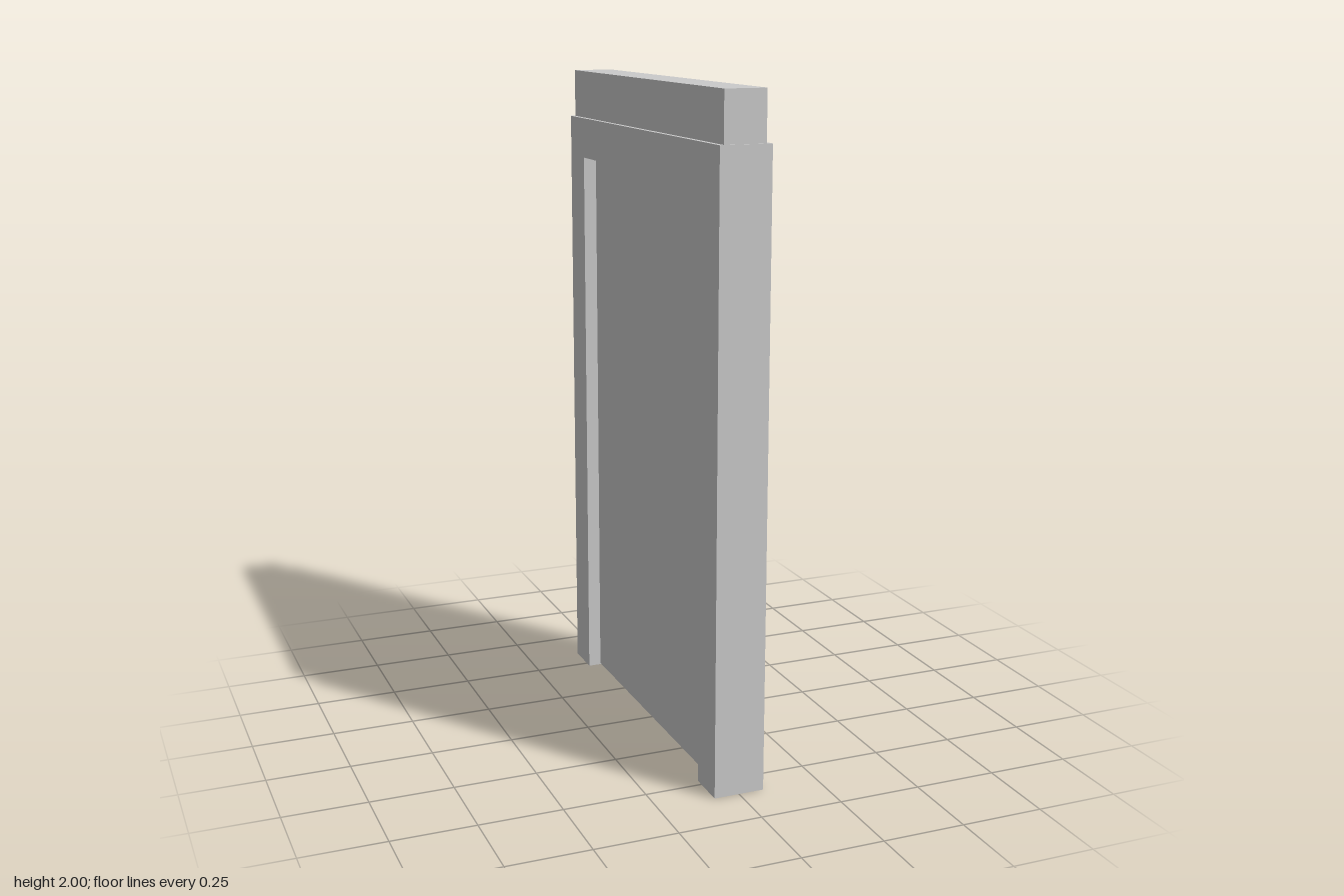
import * as THREE from 'three';

export function createModel() {
  const group = new THREE.Group();
  const material = new THREE.MeshStandardMaterial({ color: 0xcccccc, flatShading: true });

  const outer = 0.597, inner = 0.475; // half widths of the frame
  const frameTop = 1.855, opening = 1.731; // heights of the frame and its opening
  const depth = 0.153;

  const add = (name, geometry) => {
    const mesh = new THREE.Mesh(geometry, material);
    mesh.name = name;
    group.add(mesh);
    return mesh;
  };

  // Extrudes a profile drawn across the door through the frame's thickness
  const framePiece = (name, points) => {
    const shape = new THREE.Shape(points.map(([u, v]) => new THREE.Vector2(u, v)));
    const geometry = new THREE.ExtrudeGeometry(shape, { depth, bevelEnabled: false });
    geometry.translate(0, 0, -depth / 2).rotateY(Math.PI / 2);
    return add(name, geometry);
  };

  const box = (name, [x0, x1], [y0, y1], [z0, z1]) => {
    add(name, new THREE.BoxGeometry(x1 - x0, y1 - y0, z1 - z0))
      .position.set((x0 + x1) / 2, (y0 + y1) / 2, (z0 + z1) / 2);
  };

  // Jambs with mitred tops
  for (const [name, s] of [['frontJamb', -1], ['backJamb', 1]]) {
    framePiece(name, [[s * outer, 0], [s * outer, frameTop], [s * inner, opening], [s * inner, 0]]);
  }

  // Mitred head of the frame
  framePiece('frameHead', [[-inner, opening], [inner, opening], [outer, frameTop], [-outer, frameTop]]);

  // Recessed door leaf with a thin gap above
  box('doorLeaf', [-0.036, 0.046], [0.004, 1.72], [-inner, inner]);

  // Lintel block on top of the frame
  box('lintel', [-0.063, 0.061], [frameTop, 2], [-0.592, 0.592]);

  return group;
}
